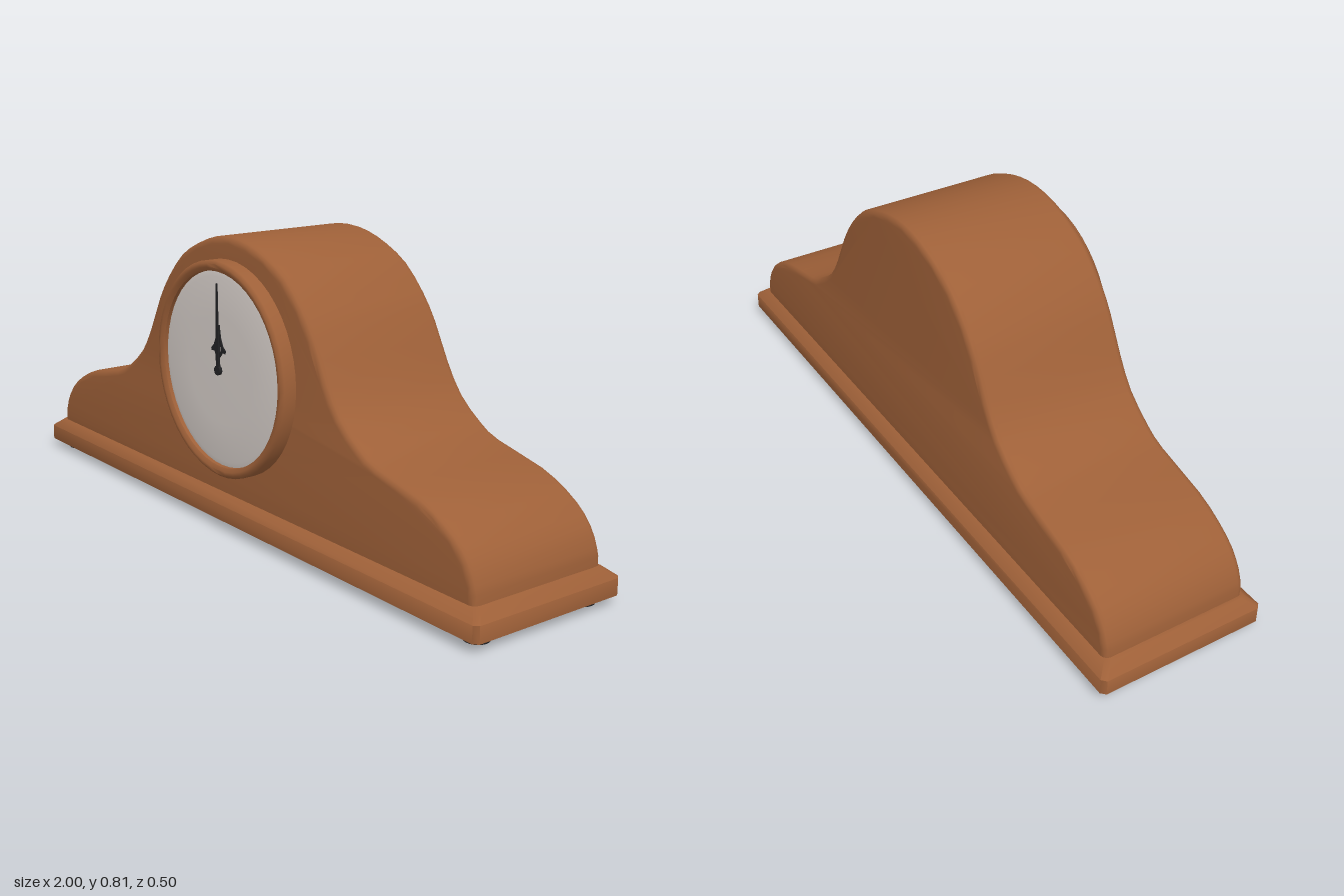
import * as THREE from 'three';
import { toCreasedNormals } from 'three/addons/utils/BufferGeometryUtils.js';
import { ConvexGeometry } from 'three/addons/geometries/ConvexGeometry.js';

const DIAL_Y = 0.457;

function material(name, color) {
  const m = new THREE.MeshStandardMaterial({ color });
  m.name = name;
  return m;
}

const v2 = (x, y) => new THREE.Vector2(x, y);

export function createModel() {
  const group = new THREE.Group();
  const wood = material('wood', 0x9e6038);
  const dialWhite = material('dial white', 0xd8d0cb);
  const black = material('black', 0x222224);

  function add(name, geometry, mat, x = 0, y = 0, z = 0) {
    const mesh = new THREE.Mesh(geometry, mat);
    mesh.name = name;
    mesh.position.set(x, y, z);
    group.add(mesh);
    return mesh;
  }

  // Case: humped outline, mirrored about the middle, with rounded edges
  const half = [
    [0.96, 0.12], [0.945, 0.165], [0.91, 0.215], [0.85, 0.258], [0.765, 0.295],
    [0.61, 0.33], [0.545, 0.36], [0.468, 0.42], [0.413, 0.5], [0.36, 0.6],
    [0.31, 0.67], [0.24, 0.738], [0.16, 0.78], [0.08, 0.806],
  ];
  const outline = [
    ...half.map(([x, y]) => v2(x, y)),
    v2(0, 0.815),
    ...half.map(([x, y]) => v2(-x, y)).reverse(),
  ];
  const caseShape = new THREE.Shape([
    v2(0.96, 0.06),
    ...new THREE.SplineCurve(outline).getPoints(56),
    v2(-0.96, 0.06),
  ]);
  const bevel = 0.018;
  const caseGeometry = new THREE.ExtrudeGeometry(caseShape, {
    depth: 0.425 - 2 * bevel, bevelThickness: bevel, bevelSize: bevel,
    bevelOffset: -bevel, bevelSegments: 3,
  });
  add('case', toCreasedNormals(caseGeometry, 0.6), wood, 0, 0, -0.22 + bevel);

  // Plinth: rectangle with clipped corners and a sloping top edge
  const plinthPoints = [];
  for (const [y, inset] of [[0.025, 0], [0.07, 0], [0.095, 0.03]]) {
    const w = 1 - inset, d = 0.2425 - inset, cut = 0.012;
    for (const sx of [-1, 1]) {
      for (const sz of [-1, 1]) {
        plinthPoints.push(
          new THREE.Vector3(sx * (w - cut), y, sz * d),
          new THREE.Vector3(sx * w, y, sz * (d - cut)),
        );
      }
    }
  }
  add('plinth', toCreasedNormals(new ConvexGeometry(plinthPoints), 0.9), wood, 0, 0, -0.0075);

  // Feet
  for (const x of [-0.935, 0.935]) {
    for (const z of [-0.185, 0.168]) {
      add('foot', new THREE.CylinderGeometry(0.033, 0.033, 0.03, 20), black, x, 0.015, z);
    }
  }

  // Bezel ring and gently domed dial, turned to face the front
  const turned = (points, crease) => toCreasedNormals(
    new THREE.LatheGeometry(points.map(([r, z]) => v2(r, z)), 48).rotateX(Math.PI / 2), crease);
  add('bezel', turned([
    [0.298, 0.195], [0.298, 0.242], [0.29, 0.25], [0.28, 0.25], [0.27, 0.243], [0.268, 0.2],
  ], 0.9), wood, 0, DIAL_Y);
  add('dial', turned([
    [0.271, 0.215], [0.27, 0.232], [0.255, 0.235], [0.15, 0.237], [0, 0.238],
  ], 0.5), dialWhite, 0, DIAL_Y);

  // Hands, both pointing straight up
  const flat = (shape) => new THREE.ExtrudeGeometry(shape, { depth: 0.003, bevelEnabled: false });
  const mirrored = (side) => new THREE.Shape([
    ...side.map(([x, y]) => v2(x, y)),
    ...side.map(([x, y]) => v2(-x, y)).reverse(),
  ]);
  add('minuteHand', flat(mirrored([[0.006, 0], [0.006, 0.1], [0.003, 0.238]])),
    black, 0, DIAL_Y, 0.243);

  const hour = mirrored([
    [0.005, 0], [0.005, 0.036], [0.014, 0.044], [0.018, 0.052], [0.031, 0.05],
    [0.033, 0.058], [0.02, 0.07], [0.011, 0.09], [0.005, 0.125],
  ]);
  for (const s of [-1, 1]) {
    hour.holes.push(new THREE.Path([
      v2(s * 0.004, 0.048), v2(s * 0.011, 0.055), v2(s * 0.012, 0.064), v2(s * 0.004, 0.08),
    ]));
  }
  add('hourHand', flat(hour), black, 0, DIAL_Y, 0.239);
  add('handHub', new THREE.CylinderGeometry(0.013, 0.013, 0.009, 20).rotateX(Math.PI / 2),
    black, 0, DIAL_Y, 0.2425);

  return group;
}
